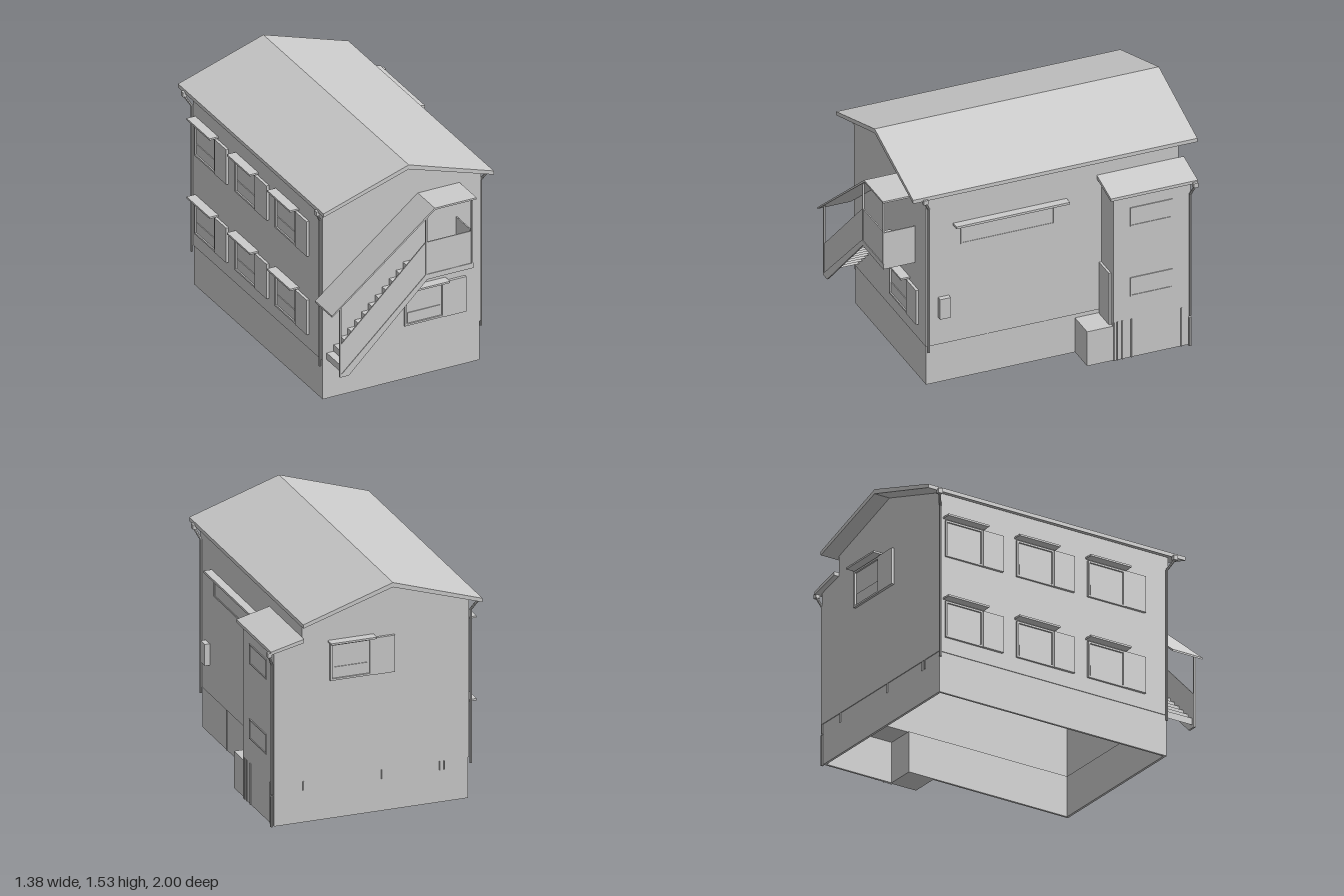
import * as THREE from 'three';

const grey = new THREE.MeshStandardMaterial({ color: 0xcccccc, flatShading: true });

function add(parent, name, geo) {
  const mesh = new THREE.Mesh(geo, grey);
  mesh.name = name;
  parent.add(mesh);
  return mesh;
}

// box from its limits on each axis
function box(parent, name, x0, x1, y0, y1, z0, z1) {
  const geo = new THREE.BoxGeometry(x1 - x0, y1 - y0, z1 - z0);
  geo.translate((x0 + x1) / 2, (y0 + y1) / 2, (z0 + z1) / 2);
  return add(parent, name, geo);
}

const toPoints = (pts) => pts.map(([x, y]) => new THREE.Vector2(x, y));

// outline in x, y extruded from z0 to z1, with an optional hole
function slab(parent, name, pts, z0, z1, hole) {
  const shape = new THREE.Shape(toPoints(pts));
  if (hole) shape.holes.push(new THREE.Path(toPoints(hole)));
  const geo = new THREE.ExtrudeGeometry(shape, { depth: z1 - z0, bevelEnabled: false });
  geo.translate(0, 0, z0);
  return add(parent, name, geo);
}

const rect = (x0, x1, y0, y1) => [[x0, y0], [x1, y0], [x1, y1], [x0, y1]];

// round pipe through a list of points
function pipe(parent, name, points, radius) {
  const group = new THREE.Group();
  group.name = name;
  for (let i = 1; i < points.length; i++) {
    const a = new THREE.Vector3(...points[i - 1]);
    const b = new THREE.Vector3(...points[i]);
    const dir = b.clone().sub(a);
    const m = add(group, 'pipeSection', new THREE.CylinderGeometry(radius, radius, dir.length(), 8));
    m.position.copy(a).lerp(b, 0.5);
    m.quaternion.setFromUnitVectors(new THREE.Vector3(0, 1, 0), dir.normalize());
  }
  parent.add(group);
}

// gutter outlet, offset bend and downpipe
function downpipe(parent, hx, hy, hz, px, pz, bottom) {
  box(parent, 'gutterOutlet', hx - 0.013, hx + 0.013, hy - 0.025, hy + 0.005, hz - 0.015, hz + 0.015);
  pipe(parent, 'downpipe', [[hx, hy - 0.02, hz], [px, hy - 0.085, pz], [px, bottom, pz]], 0.008);
}

// wall window: frame, pane, lower rail, shutter box and small awning, facing local +z
function shutterWindow(parent, x, y, z, turn) {
  const g = new THREE.Group();
  g.name = 'window';
  slab(g, 'windowFrame', rect(0, 0.27, 0, 0.24), 0, 0.014, rect(0.012, 0.258, 0.012, 0.228));
  box(g, 'windowPane', 0.012, 0.258, 0.012, 0.228, -0.005, 0.003);
  box(g, 'lowerSash', 0.02, 0.25, 0.015, 0.085, 0, 0.008);
  box(g, 'shutterBox', 0.27, 0.42, 0, 0.24, 0, 0.018);
  box(g, 'awning', -0.012, 0.285, 0.25, 0.262, 0, 0.06);
  g.position.set(x, y, z);
  g.rotation.y = turn;
  parent.add(g);
}

export function createModel() {
  const house = new THREE.Group();
  house.name = 'house';

  // hollow foundation with an L-shaped footprint, open below (shape y is -z)
  const outer = [[-0.625, -0.775], [0.45, -0.775], [0.45, 0.38], [0.64, 0.38], [0.64, 0.885], [-0.625, 0.885]];
  const inner = [[-0.61, -0.76], [0.435, -0.76], [0.435, 0.395], [0.625, 0.395], [0.625, 0.87], [-0.61, 0.87]];
  slab(house, 'foundation', outer, 0, 0.27, inner).rotation.x = -Math.PI / 2;

  // hollow main walls
  const gable = [[-0.63, 0.27], [0.46, 0.27], [0.46, 1.323], [-0.09, 1.5], [-0.63, 1.327]];
  slab(house, 'frontWall', gable, 0.765, 0.78);
  slab(house, 'backWall', gable, -0.89, -0.875);
  box(house, 'leftSideWall', -0.63, -0.615, 0.27, 1.327, -0.875, 0.765);
  box(house, 'rightSideWall', 0.445, 0.46, 0.27, 1.323, -0.875, 0.765);

  // gabled roof
  slab(house, 'roof', [[-0.675, 1.315], [-0.09, 1.5], [0.495, 1.315], [0.495, 1.34],
    [-0.09, 1.53], [-0.675, 1.34]], -1, 0.88);

  // side annex with a lean-to roof
  slab(house, 'annexWalls', [[0.46, 0.27], [0.643, 0.27], [0.643, 1.145], [0.46, 1.195]], -0.89, -0.38);
  slab(house, 'annexRoof', [[0.46, 1.188], [0.675, 1.14], [0.675, 1.16], [0.46, 1.213]], -0.925, -0.35);
  for (const y of [0.43, 0.92]) {
    slab(house, 'annexWindowFrame', rect(0, 0.28, 0, 0.13), 0, 0.006, rect(0.008, 0.272, 0.008, 0.122))
      .position.set(0.643, y, -0.49);
    house.children.at(-1).rotation.y = Math.PI / 2;
    box(house, 'annexWindowPane', 0.64, 0.645, y + 0.008, y + 0.122, -0.762, -0.498);
  }

  // low block and upright panel beside the annex
  box(house, 'sideBlock', 0.45, 0.635, 0, 0.24, -0.38, -0.21);
  box(house, 'sidePanel', 0.46, 0.61, 0.24, 0.6, -0.38, -0.365);
  box(house, 'meterBox', 0.46, 0.493, 0.46, 0.6, 0.63, 0.7);

  // shuttered windows on the front, back and long side
  shutterWindow(house, -0.07, 0.37, 0.78, 0);
  shutterWindow(house, 0.28, 0.905, -0.89, Math.PI);
  for (const z of [-0.85, -0.33, 0.19])
    for (const y of [0.37, 0.91]) shutterWindow(house, -0.63, y, z, -Math.PI / 2);

  // long strip window with awning
  box(house, 'stripWindowPane', 0.455, 0.463, 0.95, 1.07, -0.06, 0.54);
  const strip = slab(house, 'stripWindowFrame', rect(0, 0.62, 0, 0.14), 0, 0.006, rect(0.01, 0.61, 0.01, 0.13));
  strip.position.set(0.46, 0.94, 0.55);
  strip.rotation.y = Math.PI / 2;
  box(house, 'stripAwning', 0.46, 0.512, 1.082, 1.097, -0.15, 0.6);

  // downpipes
  downpipe(house, -0.677, 1.32, 0.8, -0.64, 0.765, 0.23);
  downpipe(house, 0.495, 1.32, 0.8, 0.465, 0.765, 0.23);
  downpipe(house, -0.677, 1.32, -0.92, -0.64, -0.89, 0.23);
  downpipe(house, 0.68, 1.145, -0.905, 0.655, -0.882, 0.21);
  pipe(house, 'annexPipeFoot', [[0.655, 0.2, -0.882], [0.655, 0, -0.882]], 0.01);

  // joints and small pipes along the foundation
  for (const z of [0.37, -0.01]) box(house, 'foundationJoint', 0.449, 0.455, 0, 0.27, z - 0.003, z + 0.003);
  for (const z of [-0.387, -0.407, -0.44, -0.5, -0.83])
    pipe(house, 'foundationPipe', [[0.642, 0, z], [0.642, 0.27, z]], 0.005);
  for (const x of [0.45, -0.06, -0.44, -0.47])
    pipe(house, 'backVent', [[x, 0.21, -0.887], [x, 0.27, -0.887]], 0.005);

  // outside stair: solid parapet along flight and landing
  const stair = new THREE.Group();
  stair.name = 'outsideStair';
  house.add(stair);
  slab(stair, 'stairParapet', [[-0.615, 0.25], [-0.56, 0.25], [-0.02, 0.775], [0.295, 0.775],
    [0.295, 1.03], [-0.03, 1.03], [-0.615, 0.47]], 0.978, 0.986);
  slab(stair, 'stringer', [[-0.615, 0.25], [-0.56, 0.25], [-0.02, 0.775], [0.295, 0.775],
    [0.295, 0.81], [-0.03, 0.81], [-0.615, 0.265]], 0.986, 0.99);
  box(stair, 'landing', -0.03, 0.295, 0.775, 0.81, 0.78, 0.98);
  box(stair, 'landingEndPanel', 0.287, 0.295, 0.81, 1.03, 0.78, 0.98);

  // thin folded steps, seen from above and from the foot
  const steps = 12, run = 0.57 / steps, rise = 0.54 / steps;
  for (let i = 0; i < steps; i++) {
    const x = -0.6 + i * run, y = 0.27 + i * rise;
    const riser = add(stair, 'riser', new THREE.PlaneGeometry(0.2, rise));
    riser.rotation.y = -Math.PI / 2;
    riser.position.set(x, y + rise / 2, 0.88);
    const tread = add(stair, 'tread', new THREE.PlaneGeometry(run, 0.2));
    tread.rotation.x = -Math.PI / 2;
    tread.position.set(x + run / 2, y + rise, 0.88);
  }

  // canopy with its posts
  slab(stair, 'stairCanopy', [[-0.68, 0.683], [0.03, 1.248], [0.312, 1.248], [0.312, 1.26],
    [0.025, 1.26], [-0.68, 0.695]], 0.78, 1);
  for (const [x, y0, y1] of [[-0.615, 0.25, 0.735], [-0.025, 0.81, 1.205], [0.287, 0.81, 1.25]])
    box(stair, 'canopyPost', x - 0.006, x + 0.006, y0, y1, 0.978, 0.99);

  return house;
}
